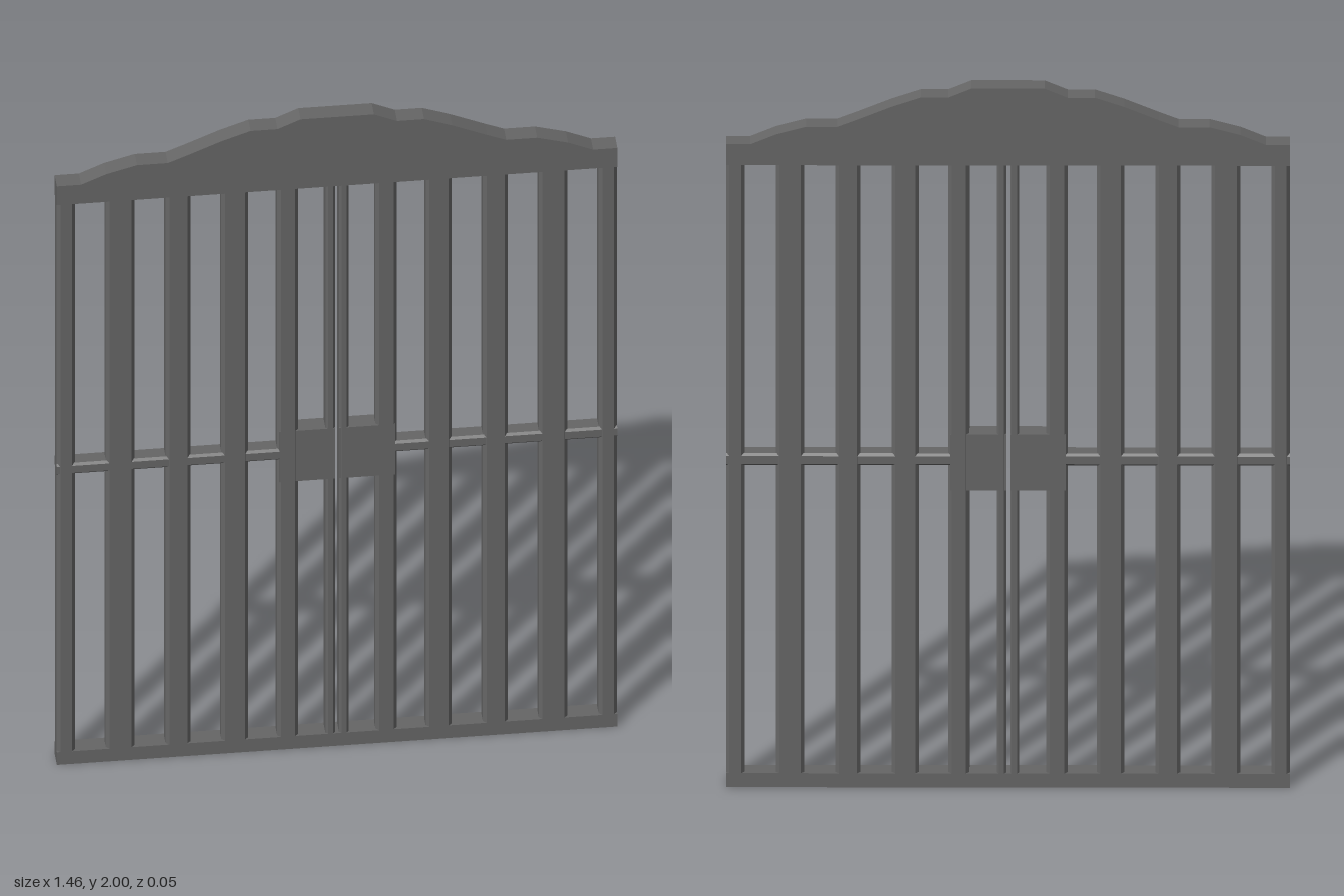
import * as THREE from 'three';

const DEPTH = 0.05;
const OPEN_BOTTOM = 0.04, OPEN_TOP = 1.78;

export function createModel() {
  const gate = new THREE.Group();
  gate.name = 'gate';
  const iron = new THREE.MeshStandardMaterial({ color: 0x666666 });
  iron.name = 'greyIron';

  const add = (name, geometry, x = 0, y = 0, z = 0) => {
    const mesh = new THREE.Mesh(geometry, iron);
    mesh.name = name;
    mesh.position.set(x, y, z);
    gate.add(mesh);
    return mesh;
  };

  // Bar with chamfered long edges, running along z from 0 to length
  const chamferedBar = (w, h, length, c) => {
    const a = w / 2, b = h / 2;
    const shape = new THREE.Shape([
      [-a + c, -b], [a - c, -b], [a, -b + c], [a, b - c],
      [a - c, b], [-a + c, b], [-a, b - c], [-a, -b + c],
    ].map(([x, y]) => new THREE.Vector2(x, y)));
    return new THREE.ExtrudeGeometry(shape, { depth: length, bevelEnabled: false });
  };

  // Upright bars, mirrored about the centre gap: [inner x, outer x]
  const uprights = [
    ['meetingStile', 0.005, 0.03], ['lockBar', 0.1, 0.155], ['bar', 0.23, 0.3],
    ['bar', 0.38, 0.445], ['bar', 0.525, 0.6], ['hingeStile', 0.68, 0.728],
  ];
  for (const side of [-1, 1]) {
    for (const [name, inner, outer] of uprights) {
      const chamfer = name === 'meetingStile' ? 0.006 : 0.009;
      const geometry = chamferedBar(outer - inner, DEPTH, OPEN_TOP - OPEN_BOTTOM, chamfer);
      geometry.rotateX(-Math.PI / 2);
      add(name, geometry, side * (inner + outer) / 2, OPEN_BOTTOM);
    }
    // Half of the lock plate
    add('lockPlate', new THREE.BoxGeometry(0.145, 0.16, DEPTH - 0.0006), side * 0.0775, 0.93);

    // Half of the thin middle rail, from the lock plate outwards
    const rail = chamferedBar(DEPTH - 0.001, 0.034, 0.578, 0.006);
    rail.rotateY(Math.PI / 2);
    add('middleRail', rail, side > 0 ? 0.15 : -0.728, 0.936);
  }

  // Bottom rail
  add('bottomRail', new THREE.BoxGeometry(1.456, OPEN_BOTTOM, DEPTH), 0, OPEN_BOTTOM / 2);

  // Scalloped crest across the top
  const half = [
    [0.728, OPEN_TOP], [0.728, 1.84], [0.665, 1.84], [0.6, 1.868], [0.52, 1.89],
    [0.44, 1.89], [0.39, 1.91], [0.3, 1.948], [0.225, 1.974], [0.155, 1.974], [0.095, 2.0],
  ];
  const outline = [...half, ...half.map(([x, y]) => [-x, y]).reverse()];
  const crest = new THREE.Shape(outline.map(([x, y]) => new THREE.Vector2(x, y)));
  add('crest', new THREE.ExtrudeGeometry(crest, { depth: DEPTH, bevelEnabled: false }), 0, 0, -DEPTH / 2);

  return gate;
}
